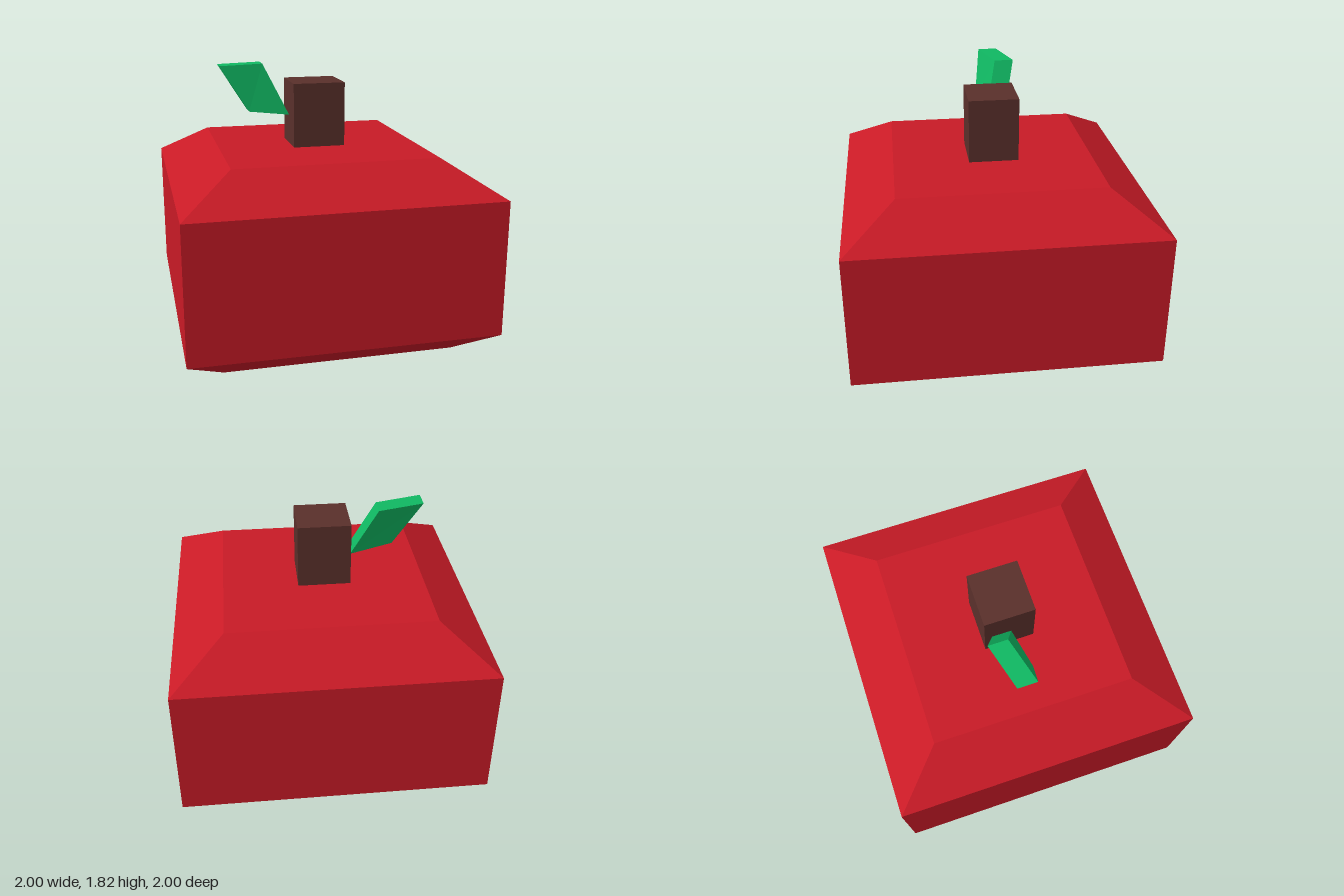
import * as THREE from 'three';

// Closed solid through four-cornered rings, each counter-clockwise seen from the far end
function loft(rings) {
  const pos = [];
  const quad = (a, b, c, d) => pos.push(...a, ...b, ...c, ...a, ...c, ...d);
  for (let r = 0; r < rings.length - 1; r++) {
    const lo = rings[r], hi = rings[r + 1];
    for (let i = 0; i < 4; i++) {
      const j = (i + 1) % 4;
      quad(lo[i], lo[j], hi[j], hi[i]);
    }
  }
  const first = rings[0], last = rings[rings.length - 1];
  quad(first[3], first[2], first[1], first[0]);
  quad(last[0], last[1], last[2], last[3]);
  const geometry = new THREE.BufferGeometry();
  geometry.setAttribute('position', new THREE.Float32BufferAttribute(pos, 3));
  geometry.computeVertexNormals();
  return geometry;
}

const squareRing = (y, h) => [[-h, y, h], [h, y, h], [h, y, -h], [-h, y, -h]];

function part(name, geometry, color) {
  const mesh = new THREE.Mesh(geometry, new THREE.MeshStandardMaterial({ color, flatShading: true }));
  mesh.name = name;
  return mesh;
}

export function createModel() {
  const group = new THREE.Group();
  group.name = 'apple';

  // Square fruit body with bevelled top and bottom
  const profile = [[0, 0.755], [0.18, 1], [1.07, 1], [1.285, 0.665]];
  group.add(part('body', loft(profile.map(([y, h]) => squareRing(y, h))), 0xc81a26));

  // Stem, sunk slightly into the body
  const stem = part('stem', new THREE.BoxGeometry(0.346, 0.445, 0.33), 0x5a302b);
  stem.position.set(-0.001, 1.4875, 0);
  group.add(stem);

  // Slanted leaf: front outline, and the same outline pushed back
  const front = [[-0.455, 1.52, 0.057], [-0.175, 1.48, 0.01], [-0.34, 1.82, -0.07], [-0.64, 1.82, 0.01]];
  const back = front.map(([x, y, z]) => [x, y, z - 0.127]);
  group.add(part('leaf', loft([back, front]), 0x10b862));

  return group;
}
